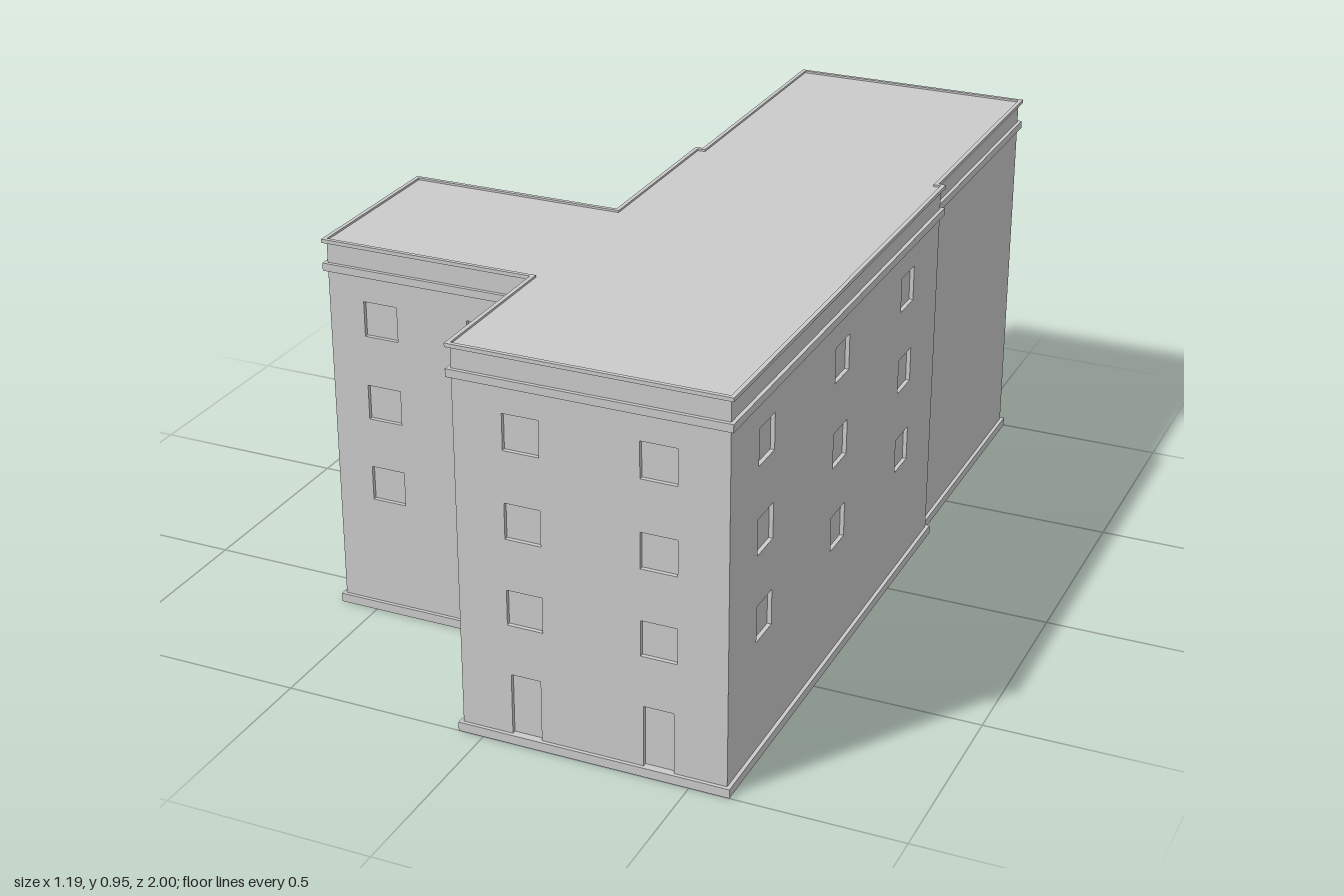
import * as THREE from 'three';

const grey = new THREE.MeshStandardMaterial({ color: 0xcccccc, flatShading: true });
const DEPTH = 0.01; // window and door recess

// T-shaped footprint as [x, z]; out = outward growth, front/side = extra setback of the panelled faces
function footprint(out, front = 0, side = 0) {
  const L = -0.053 - out, R = 0.586 + out - side, step = -0.306 - out;
  return [
    [L, 0.991 + out - front], [R, 0.991 + out - front], [R, step],
    [0.568 + out, step], [0.568 + out, -0.991 - out], [-0.034 - out, -0.991 - out],
    [-0.034 - out, step], [L, step], [L, 0.161 - out],
    [-0.588 - out, 0.161 - out], [-0.588 - out, 0.594 + out - front], [L, 0.594 + out - front],
  ];
}

const toVectors = (pts) => pts.map(([x, z]) => new THREE.Vector2(x, -z));

function slab(name, pts, y0, y1, inner) {
  const shape = new THREE.Shape(toVectors(pts));
  if (inner) shape.holes.push(new THREE.Path(toVectors(inner)));
  const geo = new THREE.ExtrudeGeometry(shape, { depth: y1 - y0, bevelEnabled: false });
  geo.rotateX(-Math.PI / 2).translate(0, y0, 0);
  const mesh = new THREE.Mesh(geo, grey);
  mesh.name = name;
  return mesh;
}

const rect = (Type, x0, y0, x1, y1) => new Type(
  [[x0, y0], [x1, y0], [x1, y1], [x0, y1]].map(([x, y]) => new THREE.Vector2(x, y)));

// Upright wall panel from a to b, pierced by windows (three storeys) and doors
function panel(name, a, b, windows, doors = []) {
  const shape = rect(THREE.Shape, a, 0.01, b, ROOF);
  for (const x of windows) {
    for (const y of [0.297, 0.509, 0.721]) {
      shape.holes.push(rect(THREE.Path, x - 0.043, y, x + 0.043, y + 0.087));
    }
  }
  for (const x of doors) shape.holes.push(rect(THREE.Path, x - 0.036, 0.022, x + 0.036, 0.173));
  const geo = new THREE.ExtrudeGeometry(shape, { depth: DEPTH, bevelEnabled: false });
  const mesh = new THREE.Mesh(geo, grey);
  mesh.name = name;
  return mesh;
}

const ROOF = 0.945;

export function createModel() {
  const group = new THREE.Group();
  group.name = 'building';

  // Core with its panelled faces set back by the recess depth
  group.add(slab('core', footprint(0, DEPTH, DEPTH), 0.005, ROOF));

  // Pierced walls
  const front = panel('frontWall', -0.053, 0.586, [0.107, 0.426], [0.106, 0.425]);
  front.position.z = 0.991 - DEPTH;
  const wing = panel('wingFrontWall', -0.588, -0.053, [-0.455, -0.188]);
  wing.position.z = 0.594 - DEPTH;
  const side = panel('sideWall', -(0.991 - DEPTH), 0.306, [-0.795, -0.35, 0.085]);
  side.rotation.y = Math.PI / 2;
  side.position.x = 0.586 - DEPTH;
  group.add(front, wing, side);

  // Plinth, cornice and roof rim follow the footprint
  const outer = footprint(0.009);
  group.add(slab('plinth', outer, 0, 0.022));
  group.add(slab('cornice', outer, 0.872, 0.891, footprint(-0.002)));
  group.add(slab('roofRim', outer, 0.941, 0.95, footprint(-0.001)));
  return group;
}
